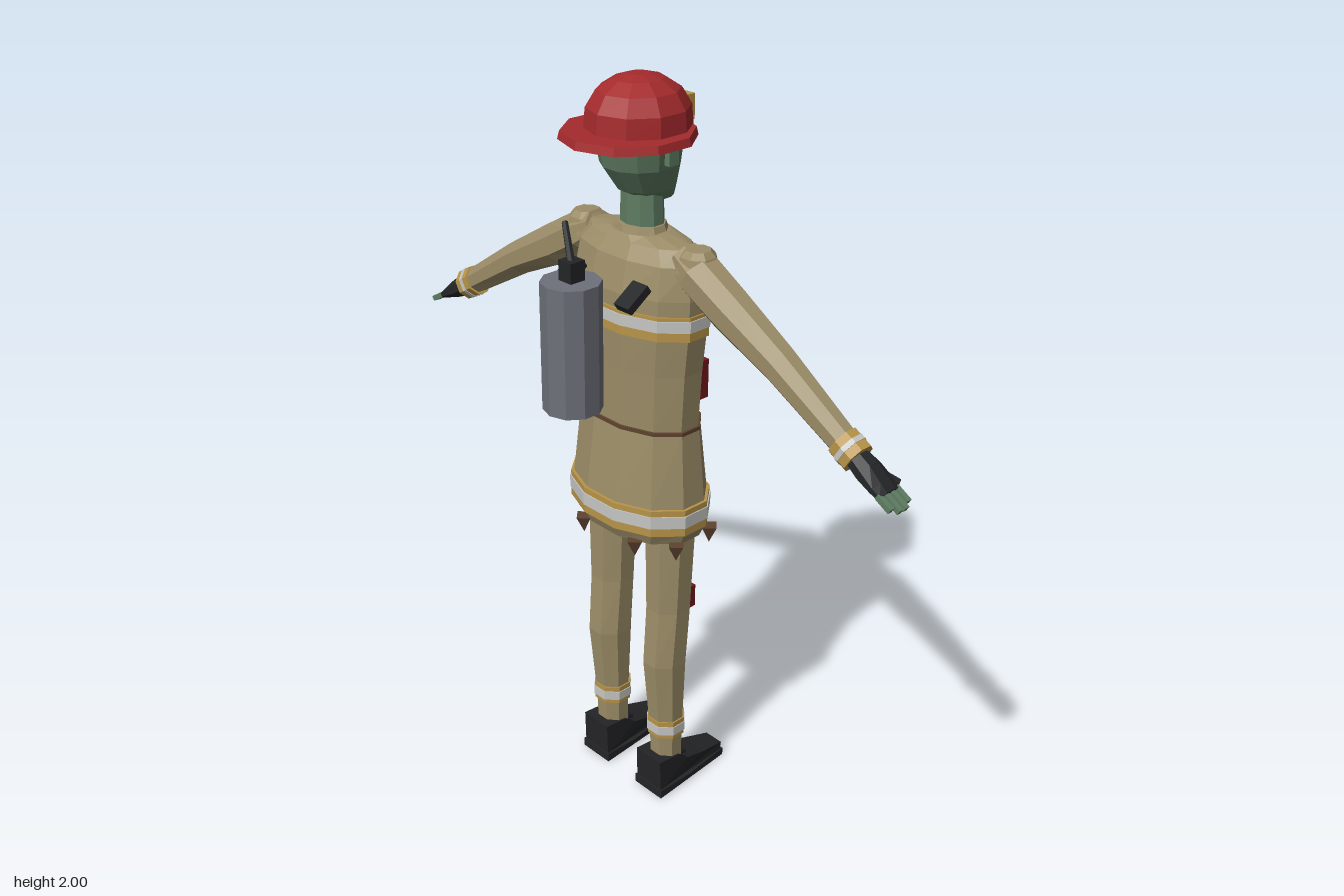
import * as THREE from 'three';

const mat = (name, color) => Object.assign(new THREE.MeshStandardMaterial({ color }), { name });

export function createModel() {
  const tan = mat('coat tan', 0x9c8d68), gold = mat('trim gold', 0xb89448), silver = mat('reflective silver', 0xc6c6c4);
  const black = mat('black', 0x242527), red = mat('helmet red', 0xa52a2c), darkRed = mat('dark red', 0x74191e);
  const green = mat('skin green', 0x5f7c62), grey = mat('tank grey', 0x6d7179), brown = mat('belt brown', 0x5f4330);
  const model = new THREE.Group();
  model.name = 'figure';
  const CZ = -0.047; // depth of the body axis

  // Adds a faceted mesh
  function add(parent, name, geo, material, x = 0, y = 0, z = 0, rx = 0, ry = 0, rz = 0) {
    const g = geo.index ? geo.toNonIndexed() : geo;
    g.computeVertexNormals();
    const m = new THREE.Mesh(g, material);
    m.name = name;
    m.position.set(x, y, z);
    m.rotation.set(rx, ry, rz);
    parent.add(m);
    return m;
  }
  const box = (w, h, d) => new THREE.BoxGeometry(w, h, d);
  const cyl = (a, b, h, n) => new THREE.CylinderGeometry(a, b, h, n);

  // Closed skin through elliptical sections [y, rx, rz, cx, cz], from the bottom up
  function loft(sections, n = 10) {
    const pos = [], idx = [];
    for (const [y, rx, rz, cx = 0, cz = 0] of sections)
      for (let i = 0; i < n; i++) {
        const a = ((i + 0.5) / n) * Math.PI * 2;
        pos.push(cx + rx * Math.cos(a), y, cz + rz * Math.sin(a));
      }
    const last = sections.length - 1;
    for (let s = 0; s < last; s++)
      for (let i = 0; i < n; i++) {
        const a = s * n + i, b = s * n + (i + 1) % n;
        idx.push(a, a + n, b, b, a + n, b + n);
      }
    for (let i = 1; i < n - 1; i++) {
      idx.push(0, i, i + 1);
      idx.push(last * n, last * n + i + 1, last * n + i);
    }
    const g = new THREE.BufferGeometry();
    g.setAttribute('position', new THREE.Float32BufferAttribute(pos, 3));
    g.setIndex(idx);
    return g;
  }

  // Coat
  const coat = new THREE.Group();
  coat.name = 'coat';
  coat.position.z = CZ;
  model.add(coat);
  add(coat, 'jacket', loft([[1.14, 0.186, 0.112], [1.3, 0.195, 0.116], [1.42, 0.208, 0.12], [1.5, 0.21, 0.118],
    [1.58, 0.2, 0.098], [1.615, 0.165, 0.075], [1.63, 0.085, 0.065]], 12), tan);
  add(coat, 'skirt', loft([[0.835, 0.196, 0.128], [0.87, 0.212, 0.144], [0.94, 0.208, 0.14], [1.145, 0.19, 0.115]], 12), tan);
  add(coat, 'belt', loft([[1.14, 0.193, 0.118], [1.15, 0.193, 0.118]], 12), brown);
  add(coat, 'collar', loft([[1.6, 0.085, 0.07], [1.645, 0.066, 0.058]], 10), tan);
  const band = (name, y0, y1, rx, rz, m) => add(coat, name, loft([[y0, rx, rz], [y1, rx, rz]], 12), m);
  band('chestTrim', 1.4, 1.462, 0.213, 0.124, gold);
  band('chestStripe', 1.424, 1.453, 0.216, 0.127, silver);
  band('hemTrim', 0.868, 0.942, 0.216, 0.148, gold);
  band('hemStripe', 0.892, 0.926, 0.219, 0.151, silver);
  // Torn tatters round the hem
  for (const [x, z] of [[-0.08, 0.125], [0.19, 0.05], [-0.19, 0.03], [0.18, -0.08], [-0.13, -0.11], [0.06, -0.133], [0.1, 0.11]])
    add(coat, 'tatter', new THREE.ConeGeometry(0.026, 0.05, 4), brown, x, 0.817, z, Math.PI);

  // Head
  const head = new THREE.Group();
  head.name = 'head';
  head.position.z = -0.04;
  model.add(head);
  add(head, 'neck', loft([[1.6, 0.062, 0.05, 0, -0.012], [1.75, 0.056, 0.048, 0, -0.01]], 10), green);
  add(head, 'skull', loft([[1.7, 0.045, 0.05, 0, -0.05], [1.73, 0.07, 0.075, 0, -0.022], [1.79, 0.094, 0.098, 0, -0.003],
    [1.84, 0.103, 0.106], [1.89, 0.1, 0.105]], 12), green);
  add(head, 'nose', new THREE.ConeGeometry(0.019, 0.055, 4), green, 0, 1.812, -0.112, 0.35);
  add(head, 'mouth', box(0.05, 0.028, 0.02), darkRed, 0, 1.752, -0.093);
  add(head, 'bloodDrip', box(0.016, 0.03, 0.012), darkRed, 0.012, 1.73, -0.097);
  for (const s of [-1, 1]) {
    add(head, 'ear', box(0.016, 0.045, 0.03), green, s * 0.105, 1.827, -0.005);
    add(head, 'eye', box(0.032, 0.018, 0.008), black, s * 0.042, 1.832, -0.099, 0, s * 0.3);
  }

  // Helmet
  const helmet = new THREE.Group();
  helmet.name = 'helmet';
  model.add(helmet);
  add(helmet, 'brim', loft([[1.857, 0.165, 0.165], [1.877, 0.16, 0.16]], 10), red, 0, 0, -0.005);
  add(helmet, 'dome', loft([[1.87, 0.125, 0.133], [1.925, 0.121, 0.128], [1.965, 0.097, 0.103], [1.99, 0.058, 0.064], [2, 0.025, 0.028]], 10), red, 0, 0, -0.038);
  add(helmet, 'badge', box(0.08, 0.062, 0.03), gold, 0, 1.904, -0.167);
  add(helmet, 'badgeRim', box(0.042, 0.038, 0.008), brown, 0, 1.904, -0.182);
  add(helmet, 'badgeCentre', box(0.034, 0.03, 0.01), gold, 0, 1.904, -0.183);

  // Arms, gloves and fingers; local y runs down the arm
  for (const s of [-1, 1]) {
    const arm = new THREE.Group();
    arm.name = s > 0 ? 'leftArm' : 'rightArm';
    arm.position.set(s * 0.2, 1.566, CZ);
    arm.rotation.z = -s * 2.093;
    model.add(arm);
    add(arm, 'sleeve', loft([[-0.06, 0.04, 0.045], [0, 0.058, 0.058], [0.12, 0.058, 0.054], [0.3, 0.047, 0.046, s * -0.007], [0.56, 0.036, 0.034]], 8), tan);
    add(arm, 'cuff', loft([[0.53, 0.043, 0.041], [0.585, 0.043, 0.041]], 8), gold);
    add(arm, 'cuffStripe', loft([[0.55, 0.045, 0.043], [0.563, 0.045, 0.043]], 8), silver);
    add(arm, 'glove', loft([[0.57, 0.026, 0.03], [0.62, 0.028, 0.038], [0.665, 0.018, 0.04], [0.69, 0.013, 0.037]], 8), black);
    for (let i = 0; i < 4; i++) {
      const z = -0.03 + i * 0.02, len = i === 0 || i === 3 ? 0.045 : 0.057;
      add(arm, 'finger', box(0.014, len, 0.013), green, 0, 0.682 + len / 2, z);
    }
    add(arm, 'thumb', box(0.016, 0.05, 0.015), black, s * 0.008, 0.655, -0.042, -0.5);
    add(model, 'shoulderCap', loft([[1.57, 0.06, 0.055], [1.61, 0.045, 0.045], [1.625, 0.032, 0.032]], 8), tan, s * 0.195, 0, CZ);
  }

  // Boot side outline: forward, up
  const outline = [[-0.015, 0.02], [0.24, 0.02], [0.245, 0.045], [0.16, 0.065], [0.09, 0.085], [0.055, 0.115], [-0.018, 0.122]];
  function bootPart(points, width) {
    const g = new THREE.ExtrudeGeometry(new THREE.Shape(points.map(p => new THREE.Vector2(...p))), { depth: width, bevelEnabled: false, steps: 1 });
    g.translate(0, 0, -width / 2).rotateY(Math.PI / 2);
    // Narrow the toe
    const p = g.attributes.position;
    for (let i = 0; i < p.count; i++) {
      const f = Math.max(0, (-p.getZ(i) - 0.12) / 0.13);
      p.setX(i, p.getX(i) * (1 - 0.4 * f));
    }
    return g;
  }

  // Legs and boots
  for (const s of [-1, 1]) {
    const leg = new THREE.Group();
    leg.name = s > 0 ? 'leftLeg' : 'rightLeg';
    leg.position.x = s * 0.11;
    model.add(leg);
    add(leg, 'trouser', loft([[0.1, 0.046, 0.045, 0, -0.05], [0.2, 0.049, 0.047, 0, -0.048], [0.43, 0.06, 0.063, 0, -0.04],
      [0.6, 0.063, 0.062, 0, -0.05], [0.86, 0.072, 0.068, 0, -0.053]], 8), tan);
    add(leg, 'ankleTrim', loft([[0.185, 0.054, 0.053], [0.24, 0.055, 0.054]], 8), gold, 0, 0, -0.048);
    add(leg, 'ankleStripe', loft([[0.198, 0.057, 0.056], [0.225, 0.057, 0.056]], 8), silver, 0, 0, -0.048);
    add(leg, 'boot', bootPart(outline, 0.095), black);
    add(leg, 'sole', bootPart([[-0.018, 0], [0.25, 0], [0.25, 0.022], [0.1, 0.026], [-0.018, 0.026]], 0.105), black);
    add(leg, 'bootLace', box(0.05, 0.012, 0.02), black, 0, 0.088, -0.095, -0.5);
  }

  // Air tank with valve and lever
  const tank = new THREE.Group();
  tank.name = 'airTank';
  tank.position.z = 0.177;
  model.add(tank);
  add(tank, 'cylinder', cyl(0.075, 0.075, 0.33, 10), grey, 0, 1.385, 0);
  add(tank, 'valve', box(0.044, 0.055, 0.044), black, 0, 1.573, -0.003);
  const lever = add(tank, 'lever', cyl(0.008, 0.01, 0.115, 6), black, -0.037, 1.627, -0.025);
  lever.quaternion.setFromUnitVectors(new THREE.Vector3(0, 1, 0), new THREE.Vector3(-0.08, 0.07, -0.05).normalize());

  // Harness buckles, back and chest
  for (const s of [-1, 1]) {
    add(model, 'backBuckle', box(0.05, 0.022, 0.075), black, s * 0.113, 1.515, 0.085, 0.6);
    add(model, 'chestBuckle', box(0.042, 0.06, 0.022), black, s * 0.108, 1.505, -0.148, 0.45);
  }

  // Stained patches and belt tag
  add(model, 'chestPatch', box(0.105, 0.1, 0.03), darkRed, -0.103, 1.475, -0.166);
  add(model, 'bellyPatch', box(0.09, 0.105, 0.03), darkRed, 0.08, 1.233, -0.15);
  add(model, 'thighPatch', box(0.07, 0.065, 0.025), darkRed, 0.108, 0.612, -0.106);
  add(model, 'beltTag', box(0.042, 0.032, 0.012), silver, 0, 1.128, -0.165);
  return model;
}
